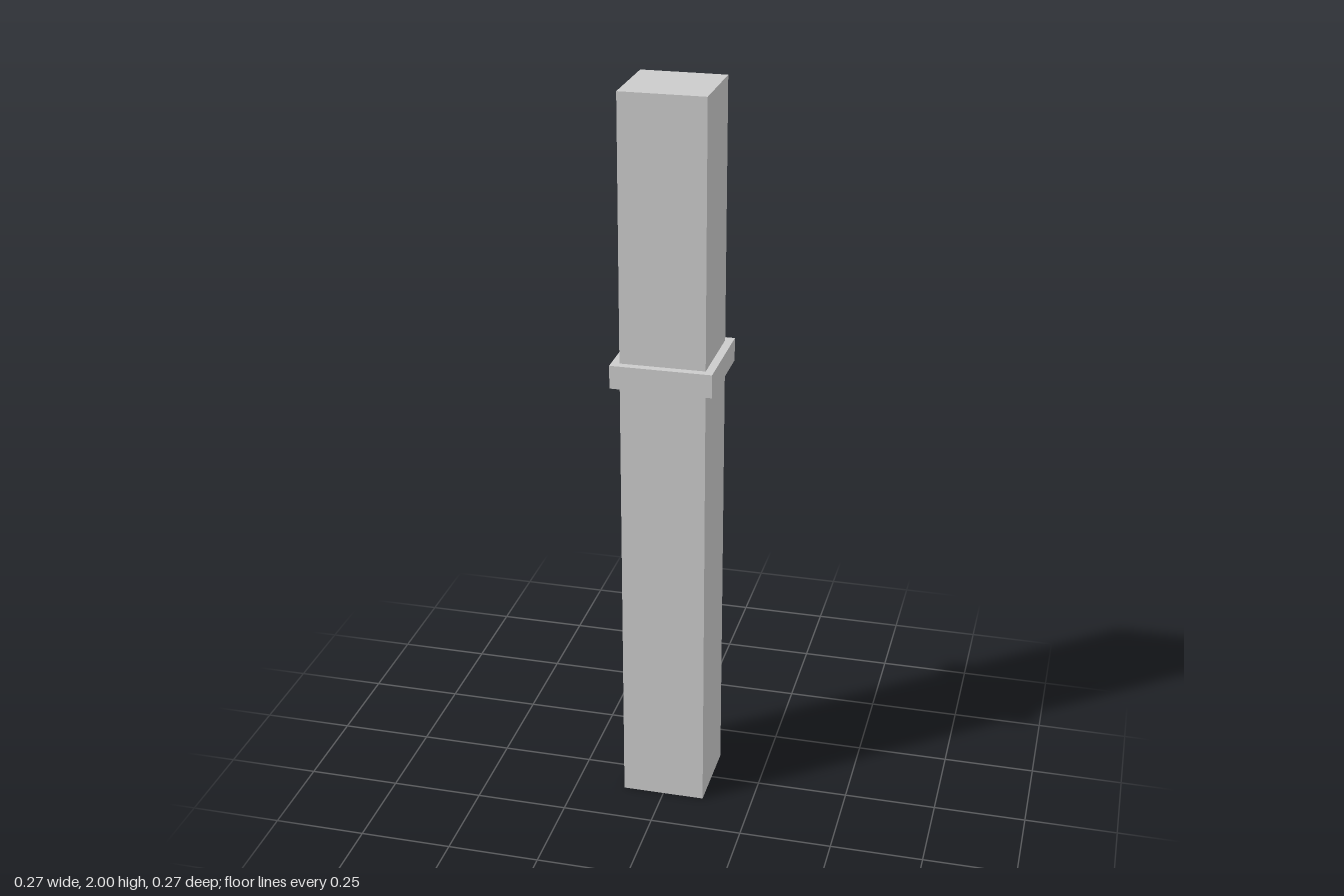
import * as THREE from 'three';

export function createModel() {
  const group = new THREE.Group();
  group.name = 'post';
  const material = new THREE.MeshStandardMaterial({ color: 0xcccccc, flatShading: true });

  // Square block centred on the y axis, spanning bottom to top
  const addBlock = (name, width, bottom, top) => {
    const mesh = new THREE.Mesh(new THREE.BoxGeometry(width, top - bottom, width), material);
    mesh.name = name;
    mesh.position.y = (bottom + top) / 2;
    group.add(mesh);
  };

  addBlock('shaft', 0.227, 0, 2);
  // Raised band around the shaft
  addBlock('collar', 0.27, 1.229, 1.292);

  return group;
}
